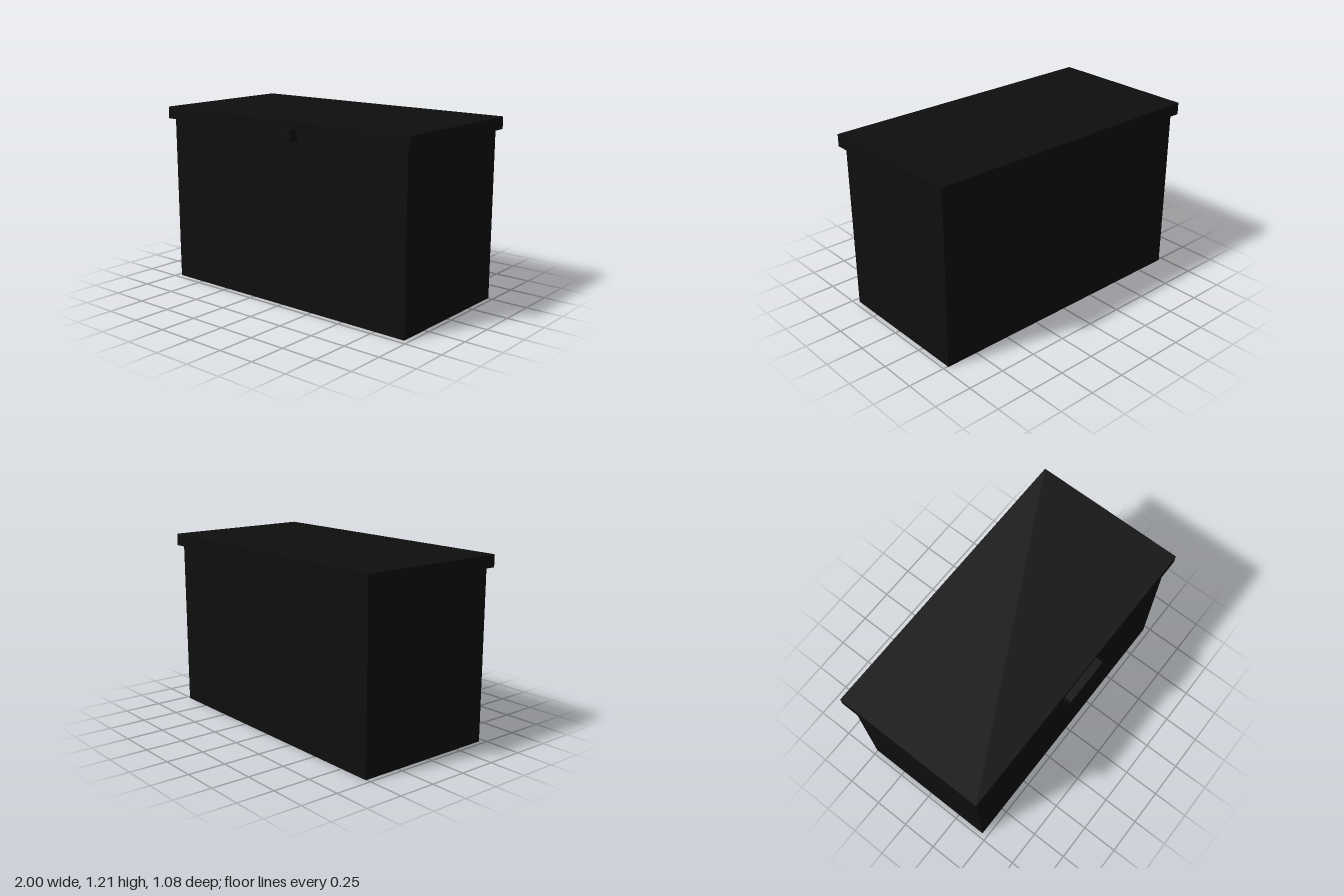
import * as THREE from 'three';

const UNIT = 2 / 62; // lid is 62 units wide
const CENTRE_Z = -0.0225; // box sits back to balance the handle

export function createModel() {
  const group = new THREE.Group();
  group.name = 'storageChest';

  const black = new THREE.MeshStandardMaterial({ color: 0x0e0e0e });
  black.name = 'black';

  // box sized in units, with its underside at the given height
  const addBox = (name, width, height, depth, bottom, z) => {
    const geometry = new THREE.BoxGeometry(width * UNIT, height * UNIT, depth * UNIT);
    const mesh = new THREE.Mesh(geometry, black);
    mesh.name = name;
    mesh.position.set(0, (bottom + height / 2) * UNIT, z);
    group.add(mesh);
  };

  addBox('body', 60, 35, 30, 0, CENTRE_Z);
  // overhanging lid
  addBox('lid', 62, 2.5, 32, 35, CENTRE_Z);
  // handle let into the front edge of the lid
  addBox('handle', 10, 2.5, 2, 33.75, 0.51);

  return group;
}
